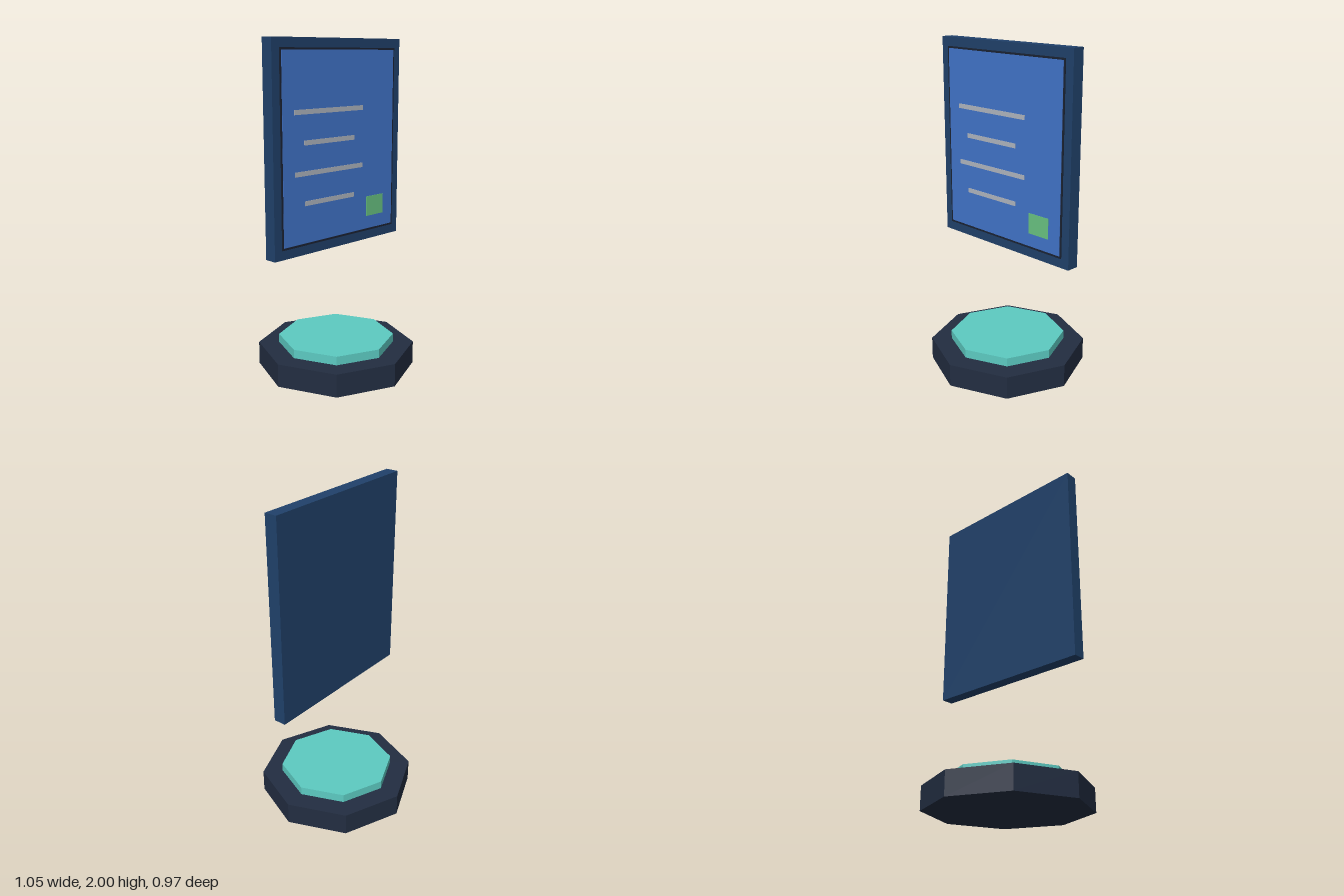
import * as THREE from 'three';

const mat = (name, color) => {
  const m = new THREE.MeshStandardMaterial({ color });
  m.name = name;
  return m;
};

export function createModel() {
  const model = new THREE.Group();
  model.name = 'floatingNoticePanel';

  const navy = mat('navy frame', 0x20416a);
  const slate = mat('dark slate', 0x222d41);
  const black = mat('dark bezel', 0x1a2232);
  const teal = mat('teal glow', 0x5ccac1);
  const blue = mat('blue screen', 0x4174ca);
  const grey = mat('pale grey', 0xb0b6c0);
  const green = mat('green', 0x69c382);

  // Box given by its limits on each axis
  const box = (name, material, [x0, x1], [y0, y1], [z0, z1]) => {
    const mesh = new THREE.Mesh(new THREE.BoxGeometry(x1 - x0, y1 - y0, z1 - z0), material);
    mesh.position.set((x0 + x1) / 2, (y0 + y1) / 2, (z0 + z1) / 2);
    mesh.name = name;
    model.add(mesh);
  };

  // Upright octagonal slab with a corner facing the front
  const octagon = (name, material, radius, y0, y1) => {
    const geometry = new THREE.CylinderGeometry(radius, radius, y1 - y0, 8).toNonIndexed();
    geometry.computeVertexNormals();
    const mesh = new THREE.Mesh(geometry, material);
    mesh.position.y = (y0 + y1) / 2;
    mesh.name = name;
    model.add(mesh);
  };

  // Pedestal
  octagon('base', slate, 0.483, 0, 0.14);
  octagon('projectorDisc', teal, 0.357, 0.13, 0.193);

  // Floating panel with a raised bezel and screen
  box('panelFrame', navy, [-0.523, 0.523], [0.772, 2], [-0.038, 0.038]);
  box('bezel', black, [-0.47, 0.47], [0.828, 1.945], [0.034, 0.0425]);
  box('screen', blue, [-0.459, 0.459], [0.841, 1.934], [0.036, 0.0445]);

  // Text bars, alternating long and short
  for (let i = 0; i < 4; i++) {
    const y = 1.595 - i * 0.1735;
    const span = i % 2 ? [-0.299, 0.11] : [-0.372, 0.182];
    box('textBar' + (i + 1), grey, span, [y - 0.014, y + 0.014], [0.04, 0.0465]);
  }

  // Button in the lower corner
  box('button', green, [0.221, 0.373], [0.921, 1.045], [0.04, 0.0465]);

  return model;
}
